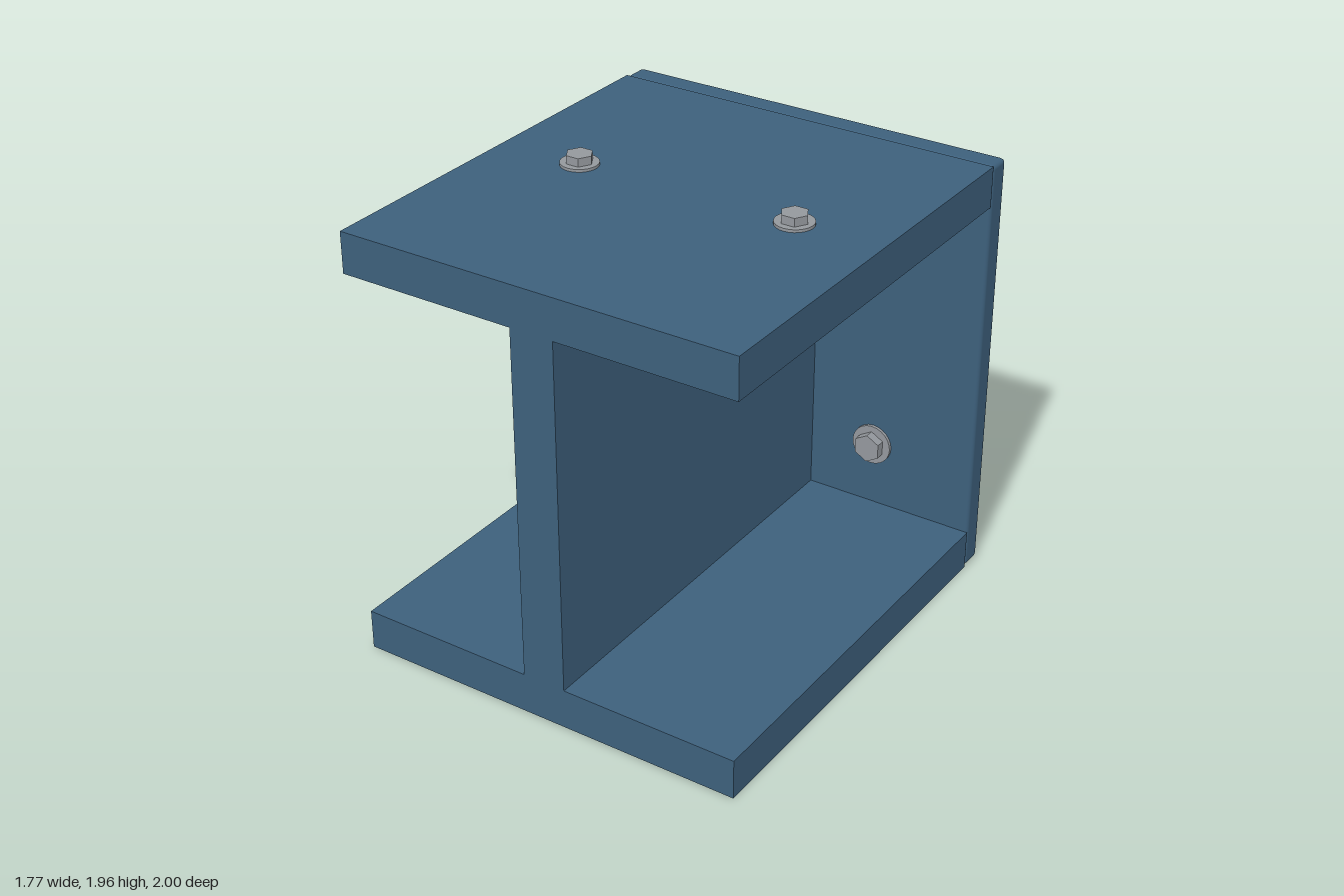
import * as THREE from 'three';
import { toCreasedNormals } from 'three/addons/utils/BufferGeometryUtils.js';
import { RoundedBoxGeometry } from 'three/addons/geometries/RoundedBoxGeometry.js';

const material = (name, color) => {
  const m = new THREE.MeshStandardMaterial({ color });
  m.name = name;
  return m;
};

function addMesh(parent, name, geometry, mat) {
  const mesh = new THREE.Mesh(geometry, mat);
  mesh.name = name;
  parent.add(mesh);
  return mesh;
}

// Hex bolt on a round washer, standing on y = 0
function createBolt(name, washerRadius, headRadius, washerHeight, headHeight, spin, steel) {
  const bolt = new THREE.Group();
  bolt.name = name;
  const washer = new THREE.CylinderGeometry(washerRadius, washerRadius, washerHeight, 24);
  addMesh(bolt, 'washer', toCreasedNormals(washer, 0.6), steel).position.y = washerHeight / 2;
  const head = new THREE.CylinderGeometry(headRadius, headRadius, headHeight, 6);
  const hex = addMesh(bolt, 'boltHead', toCreasedNormals(head, 0.6), steel);
  hex.position.y = washerHeight + headHeight / 2;
  hex.rotation.y = spin;
  return bolt;
}

export function createModel() {
  const model = new THREE.Group();
  model.name = 'beamWithEndPlate';
  const blue = material('paintedBlue', 0x3d607c);
  const steel = material('boltGrey', 0x94989d);

  // I-shaped beam section, extruded along z
  const halfWidth = 0.887, height = 1.91, flange = 0.178, halfWeb = 0.097;
  const right = [
    [halfWidth, 0], [halfWidth, flange], [halfWeb, flange],
    [halfWeb, height - flange], [halfWidth, height - flange], [halfWidth, height],
  ];
  const left = right.map(([x, y]) => [-x, y]).reverse();
  const section = new THREE.Shape([...right, ...left].map(([x, y]) => new THREE.Vector2(x, y)));
  const beam = new THREE.ExtrudeGeometry(section, { depth: 1.888, bevelEnabled: false });
  addMesh(model, 'beam', beam, blue).position.z = -0.888;

  // End plate with softened edges
  const plate = new RoundedBoxGeometry(halfWidth * 2, 1.908, 0.112, 2, 0.02);
  addMesh(model, 'endPlate', plate, blue).position.set(0, height / 2, -0.944);

  for (const side of [-1, 1]) {
    // Bolts on the top flange
    const top = createBolt('topBolt', 0.081, 0.058, 0.012, 0.036, Math.PI / 6, steel);
    top.position.set(side * 0.5, height, 0);
    model.add(top);

    // Bolts through the end plate, facing forward
    for (const y of [0.472, 1.443]) {
      const bolt = createBolt('plateBolt', 0.092, 0.065, 0.014, 0.041, 0, steel);
      bolt.position.set(side * 0.403, y, -0.888);
      bolt.rotation.x = Math.PI / 2;
      model.add(bolt);
    }
  }
  return model;
}
